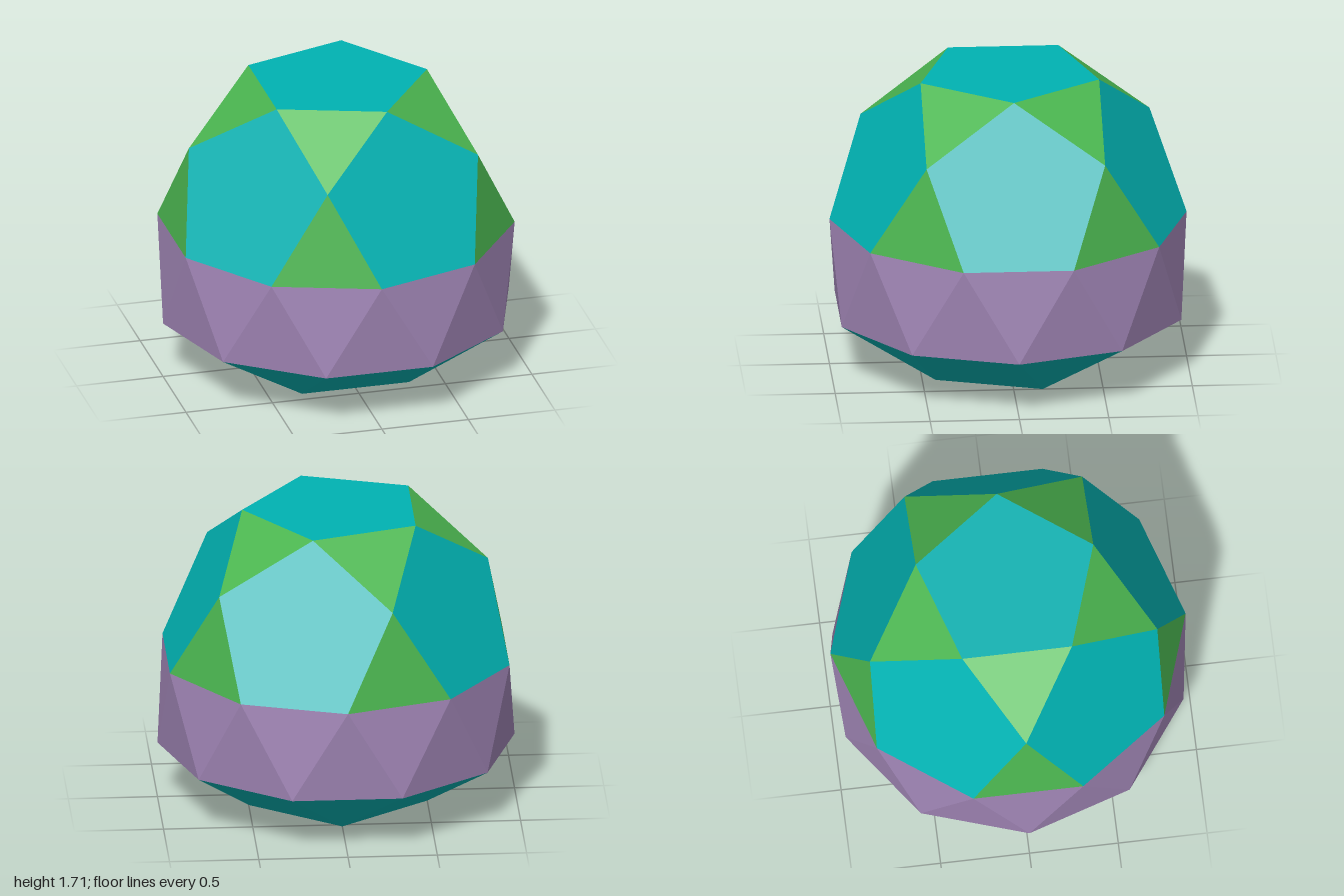
import * as THREE from 'three';

const mat = (name, color) => {
  const m = new THREE.MeshStandardMaterial({ color });
  m.name = name;
  m.flatShading = true;
  return m;
};

// Ring of points around the y axis; start is in degrees from +x towards +z
const ring = (count, radius, y, start) => Array.from({ length: count }, (_, i) => {
  const a = THREE.MathUtils.degToRad(start + i * 360 / count);
  return new THREE.Vector3(radius * Math.cos(a), y, radius * Math.sin(a));
});

// Mesh of flat convex polygons, each turned to face away from the middle
function polygons(name, faces, material) {
  const middle = new THREE.Vector3(0, 0.75, 0);
  const points = [];
  for (const face of faces) {
    const normal = face[1].clone().sub(face[0]).cross(face[2].clone().sub(face[0]));
    const f = normal.dot(face[0].clone().sub(middle)) < 0 ? [...face].reverse() : face;
    for (let i = 1; i < f.length - 1; i++) points.push(f[0], f[i], f[i + 1]);
  }
  const geometry = new THREE.BufferGeometry().setFromPoints(points);
  geometry.computeVertexNormals();
  const mesh = new THREE.Mesh(geometry, material);
  mesh.name = name;
  return mesh;
}

export function createModel() {
  const teal = mat('teal', 0x00b2b2);
  const green = mat('green', 0x4bb650);
  const purple = mat('purple', 0xa085b5);

  // Rings of corners from bottom to top
  const base = ring(5, 0.5257, 0, -90);
  const lower = ring(10, 1, 0.325, -108);
  const upper = ring(10, 1, 0.8583, -18);
  const shoulder = ring(5, 0.8507, 1.384, 36);
  const crown = ring(5, 0.5257, 1.709, 0);

  const bottomFaces = [base], bandFaces = [], pentagons = [crown], triangles = [];
  for (let i = 0; i < 5; i++) {
    const j = (i + 1) % 5, k = 2 * i;
    // Bottom cupola: a triangle at each base corner, a square at each base edge
    bottomFaces.push([base[i], lower[k], lower[k + 1]]);
    bottomFaces.push([base[i], lower[k + 1], lower[(k + 2) % 10], base[j]]);
    // Top rotunda: pentagons with triangles between them
    pentagons.push([crown[i], shoulder[i], upper[k + 1], upper[k], shoulder[(i + 4) % 5]]);
    triangles.push([crown[i], crown[j], shoulder[i]]);
    triangles.push([shoulder[i], upper[k + 1], upper[(k + 2) % 10]]);
  }
  // Band of alternating triangles: u lies midway between a and b, b midway between u and v
  for (let i = 0; i < 10; i++) {
    const a = lower[(i + 2) % 10], b = lower[(i + 3) % 10];
    const u = upper[i], v = upper[(i + 1) % 10];
    bandFaces.push([a, b, u], [u, v, b]);
  }

  const group = new THREE.Group();
  group.name = 'facetedSolid';
  group.add(
    polygons('bottomCupola', bottomFaces, teal),
    polygons('triangleBand', bandFaces, purple),
    polygons('rotundaPentagons', pentagons, teal),
    polygons('rotundaTriangles', triangles, green),
  );
  return group;
}
